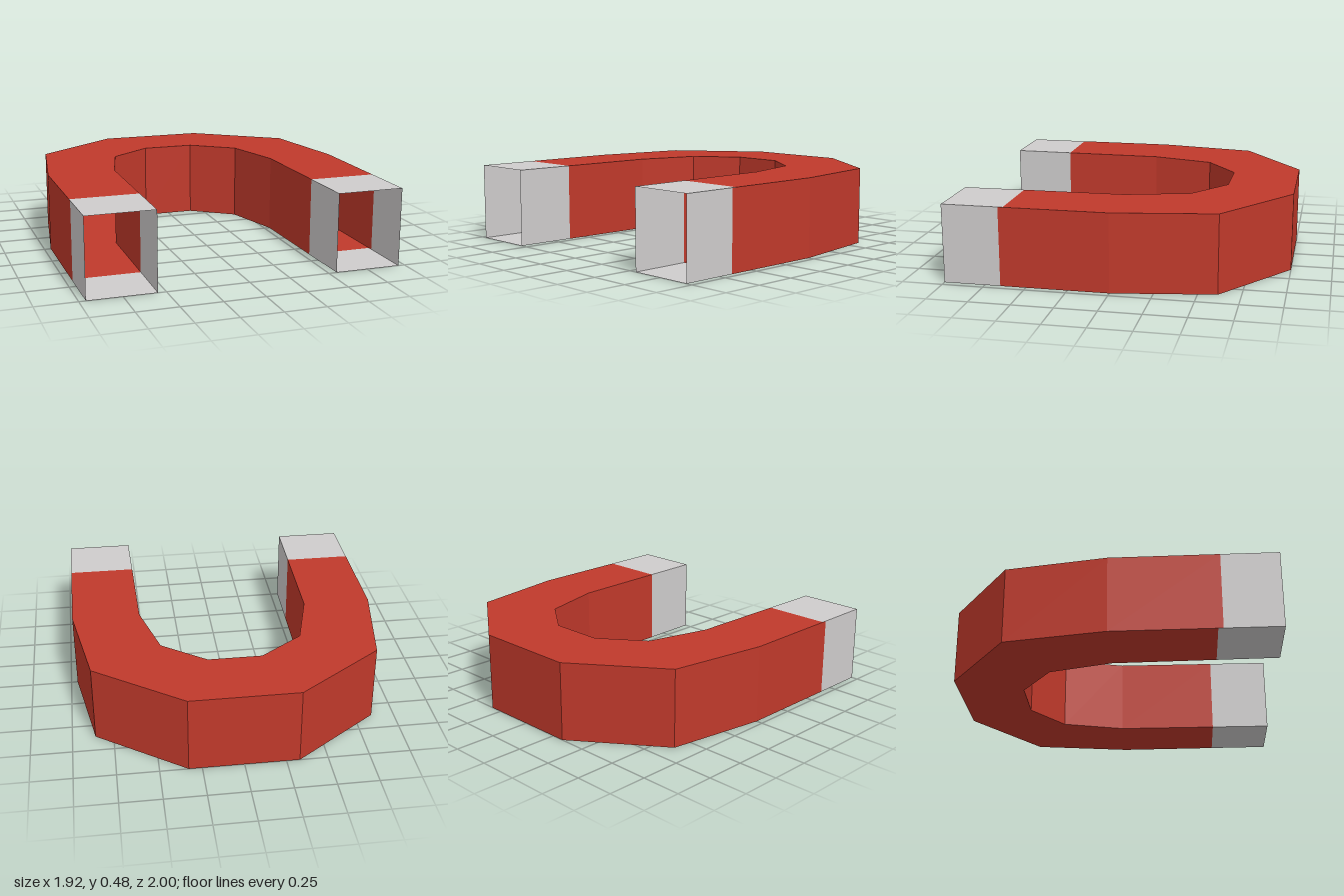
import * as THREE from 'three';

const HEIGHT = 0.48;
// Half outlines [x, z], from the left tip to the back of the bend
const OUTER = [[0.96, 1], [0.96, 0], [0.86, -0.615], [0.33, -1]];
const INNER = [[0.55, 1], [0.535, 0], [0.43, -0.39], [0.165, -0.585]];

// Full mirrored edge at height y, with a paint line inserted at z = split
function edge(half, y, split) {
  const [tip, knee] = half;
  const paint = [knee[0] + (tip[0] - knee[0]) * split, split];
  const side = [tip, paint, ...half.slice(1)];
  const mirrored = side.map(([x, z]) => [-x, z]).reverse();
  return [...side, ...mirrored].map(([x, z]) => [x, y, z]);
}

// Quads between two edges, for segments from..to
function strip(a, b, from, to) {
  const positions = [];
  for (let i = from; i < to; i++) {
    for (const p of [a[i], a[i + 1], b[i + 1], a[i], b[i + 1], b[i]]) positions.push(...p);
  }
  const geometry = new THREE.BufferGeometry();
  geometry.setAttribute('position', new THREE.Float32BufferAttribute(positions, 3));
  geometry.computeVertexNormals();
  return geometry;
}

export function createModel() {
  const red = new THREE.MeshStandardMaterial({ color: 0xc0392b, side: THREE.DoubleSide });
  red.name = 'magnet red';
  const grey = new THREE.MeshStandardMaterial({ color: 0xcecccc, side: THREE.DoubleSide });
  grey.name = 'tip grey';

  const model = new THREE.Group();
  model.name = 'horseshoeMagnet';

  // Four walls of the hollow bar, open at both tips
  const walls = [
    ['outerWall', OUTER, 0, OUTER, HEIGHT, 0.655],
    ['topWall', OUTER, HEIGHT, INNER, HEIGHT, 0.625],
    ['innerWall', INNER, HEIGHT, INNER, 0, 0.625],
    ['bottomWall', INNER, 0, OUTER, 0, 0.625],
  ];
  for (const [name, halfA, yA, halfB, yB, split] of walls) {
    const a = edge(halfA, yA, split);
    const b = edge(halfB, yB, split);
    const last = a.length - 1;
    const add = (part, from, to, material) => {
      const mesh = new THREE.Mesh(strip(a, b, from, to), material);
      mesh.name = name + part;
      model.add(mesh);
    };
    add('LeftTip', 0, 1, grey);
    add('Body', 1, last - 1, red);
    add('RightTip', last - 1, last, grey);
  }
  return model;
}
